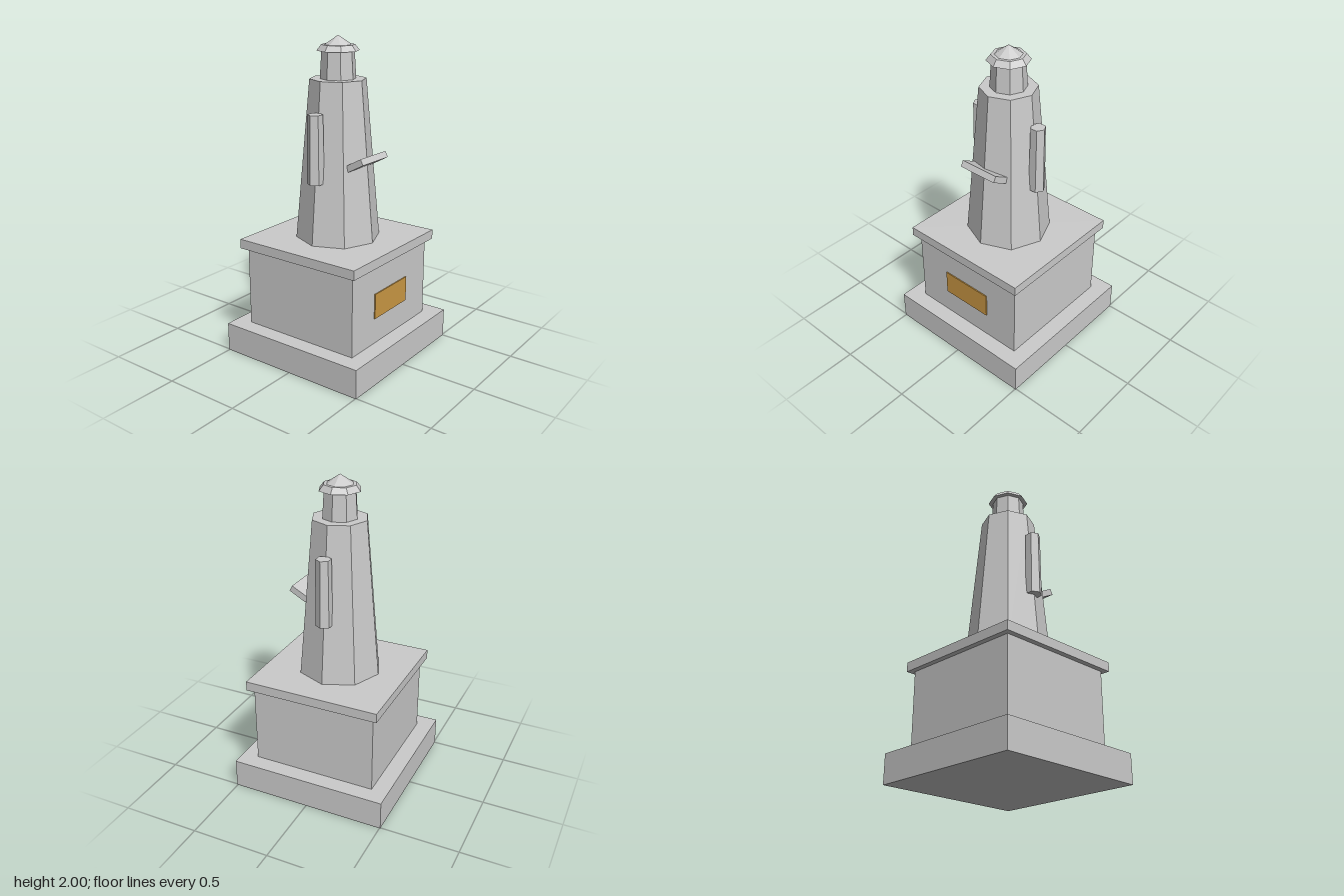
import * as THREE from 'three';

const grey = new THREE.MeshStandardMaterial({ color: 0xcccccc, flatShading: true });
const bronze = new THREE.MeshStandardMaterial({ color: 0xcc9944, flatShading: true });

export function createModel() {
  const model = new THREE.Group();
  model.name = 'statueOnPedestal';

  const add = (name, geometry, x, y, z, material = grey) => {
    const mesh = new THREE.Mesh(geometry, material);
    mesh.name = name;
    mesh.position.set(x, y, z);
    model.add(mesh);
    return mesh;
  };
  // Square slab between two heights
  const slab = (name, width, y0, y1) =>
    add(name, new THREE.BoxGeometry(width, y1 - y0, width), 0, (y0 + y1) / 2, 0);
  // Faceted, tapered column between two heights
  const column = (name, rBottom, rTop, y0, y1, sides = 8, x = 0) =>
    add(name, new THREE.CylinderGeometry(rTop, rBottom, y1 - y0, sides), x, (y0 + y1) / 2, 0);

  // Pedestal
  slab('pedestalBase', 1.01, 0, 0.185);
  slab('pedestalBlock', 0.8, 0.185, 0.695);
  slab('pedestalCap', 0.87, 0.695, 0.755);
  add('plaque', new THREE.BoxGeometry(0.345, 0.16, 0.02), 0, 0.43, 0.397, bronze);

  // Figure
  column('body', 0.264, 0.173, 0.755, 1.745);
  column('head', 0.11, 0.1, 1.745, 1.91);
  column('hatBrim', 0.13, 0.102, 1.91, 1.945);
  column('hatCrown', 0.082, 0, 1.945, 2);

  // Hexagonal arms, with a corner facing outwards
  for (const side of [1, -1]) {
    const arm = column(side > 0 ? 'leftArm' : 'rightArm', 0.052, 0.047, 1.14, 1.56, 6, side * 0.224);
    arm.rotation.y = Math.PI / 2;
  }

  // Tilted tablet held in front of the body
  const tablet = add('tablet', new THREE.BoxGeometry(0.262, 0.04, 0.122), 0, 1.264, 0.216);
  tablet.rotation.x = -0.5;

  return model;
}
